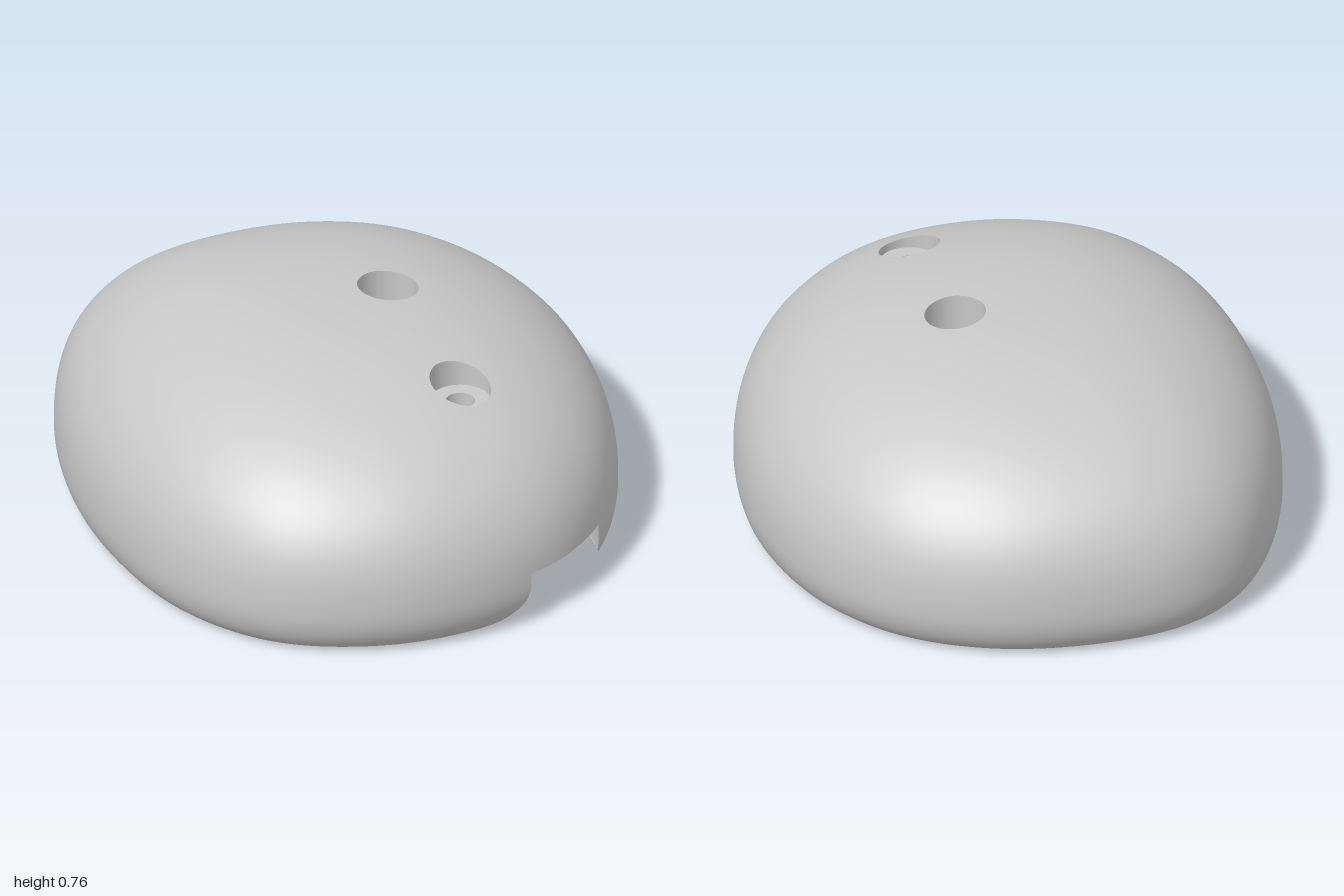
import * as THREE from 'three';

const TAU = Math.PI * 2;
const MOUTH_TOP = 0.195, ROOF = 0.447, LEDGE = 0.61;
const BORE = 0.1, DRILL = 0.048;
const HOLES = [[0.14, -0.15], [0.53, 0.24]];

// Plan outline of the pebble (x, z), turned into a radius for every angle
const OUTLINE = [[-0.11, -1], [0.23, -0.94], [0.56, -0.735], [0.8, -0.44], [0.935, -0.14], [0.982, 0.13],
  [0.94, 0.42], [0.79, 0.67], [0.52, 0.89], [0.155, 0.997], [-0.22, 0.905], [-0.625, 0.575],
  [-0.89, 0.17], [-0.985, -0.19], [-0.935, -0.45], [-0.755, -0.69], [-0.45, -0.91]];
const BINS = 720;
const radii = (() => {
  const curve = new THREE.CatmullRomCurve3(OUTLINE.map(([x, z]) => new THREE.Vector3(x, 0, z)), true);
  const s = curve.getPoints(800).slice(0, 800)
    .map(p => [(Math.atan2(p.z, p.x) + TAU) % TAU, Math.hypot(p.x, p.z)]).sort((a, b) => a[0] - b[0]);
  s.unshift([s[s.length - 1][0] - TAU, s[s.length - 1][1]]);
  s.push([s[1][0] + TAU, s[1][1]]);
  return Array.from({ length: BINS }, (_, k) => {
    const a = k / BINS * TAU, i = s.findIndex(e => e[0] > a), [a0, r0] = s[i - 1], [a1, r1] = s[i];
    return r0 + (r1 - r0) * (a - a0) / (a1 - a0);
  });
})();
function radiusAt(angle) {
  const t = ((angle + TAU) % TAU) / TAU * BINS, k = Math.floor(t);
  return THREE.MathUtils.lerp(radii[k % BINS], radii[(k + 1) % BINS], t - k);
}

// Side profile: rounded foot below, superelliptic dome above
const WAIST = 0.16, RISE = 0.598, POW_R = 2.2, POW_Y = 2.35;
function widthAt(y) {
  if (y < WAIST) return 0.9 + 0.1 * Math.sqrt(Math.max(0, 1 - ((WAIST - y) / WAIST) ** 2));
  return Math.max(0, 1 - ((y - WAIST) / RISE) ** POW_Y) ** (1 / POW_R);
}
const insideBody = (x, y, z) => radiusAt(Math.atan2(z, x)) * widthAt(y) - Math.hypot(x, z);

// Closed path through [x, z, corner radius], as evenly spaced points
function roundedPath(corners) {
  const path = new THREE.Path();
  const v = corners.map(c => new THREE.Vector2(c[0], c[1])), n = v.length;
  corners.forEach(([, , r = 0.07], i) => {
    const p = v[i];
    const [a, b] = [v[(i + n - 1) % n], v[(i + 1) % n]].map(q =>
      p.clone().add(q.clone().sub(p).setLength(Math.min(r, p.distanceTo(q) * 0.45))));
    if (i === 0) path.moveTo(a.x, a.y); else path.lineTo(a.x, a.y);
    path.quadraticCurveTo(p.x, p.y, b.x, b.y);
  });
  path.closePath();
  return path.getSpacedPoints(300);
}
// Signed distance to a closed path, positive outside
function distanceTo(pts, x, z) {
  let best = Infinity, inside = false;
  for (let i = 1; i < pts.length; i++) {
    const a = pts[i - 1], b = pts[i], ex = b.x - a.x, ez = b.y - a.y, wx = x - a.x, wz = z - a.y;
    const t = Math.min(1, Math.max(0, (wx * ex + wz * ez) / (ex * ex + ez * ez || 1)));
    best = Math.min(best, Math.hypot(wx - ex * t, wz - ez * t));
    if ((a.y > z) !== (b.y > z) && x < a.x + ex * (z - a.y) / ez) inside = !inside;
  }
  return inside ? -best : best;
}

// Keep only the part of a geometry where keep(x, y, z, top of triangle) > 0
function clip(geometry, keep) {
  const g = geometry.index ? geometry.toNonIndexed() : geometry;
  const P = g.attributes.position, N = g.attributes.normal, pos = [], nor = [];
  for (let i = 0; i < P.count; i += 3) {
    const top = Math.max(P.getY(i), P.getY(i + 1), P.getY(i + 2));
    const tri = [i, i + 1, i + 2].map(k => {
      const p = [P.getX(k), P.getY(k), P.getZ(k)];
      return [...p, N.getX(k), N.getY(k), N.getZ(k), keep(...p, top)];
    });
    const poly = [];
    tri.forEach((a, k) => {
      const b = tri[(k + 1) % 3];
      if (a[6] > 0) poly.push(a);
      if (a[6] > 0 !== b[6] > 0) {
        const t = a[6] / (a[6] - b[6]);
        poly.push(a.map((c, m) => c + (b[m] - c) * t));
      }
    });
    for (let k = 2; k < poly.length; k++)
      for (const v of [poly[0], poly[k - 1], poly[k]]) {
        pos.push(v[0], v[1], v[2]);
        nor.push(v[3], v[4], v[5]);
      }
  }
  const out = new THREE.BufferGeometry();
  out.setAttribute('position', new THREE.Float32BufferAttribute(pos, 3));
  out.setAttribute('normal', new THREE.Float32BufferAttribute(nor, 3));
  return out;
}

// Whole pebble surface, from the middle of the base to the crown
function pebble() {
  const SEG = 256, rows = [], ys = [MOUTH_TOP];
  for (let i = 0; i < 24; i++) rows.push([0.9 * i / 24, 0]);
  for (let i = 0; i < 12; i++) ys.push(WAIST * (1 - Math.cos(i / 12 * Math.PI / 2)));
  for (let i = 0; i <= 64; i++) ys.push(WAIST + RISE * Math.sin(i / 64 * Math.PI / 2) ** (2 / POW_Y));
  ys.sort((a, b) => a - b).forEach(y => rows.push([widthAt(y), y]));
  const pos = [], idx = [];
  rows.forEach(([w, y], i) => {
    for (let j = 0; j < SEG; j++) {
      const a = j / SEG * TAU, r = Math.max(w, 1e-4) * radiusAt(a);
      pos.push(r * Math.cos(a), y, r * Math.sin(a));
      if (i === rows.length - 1) continue;
      const p = i * SEG + j, q = i * SEG + (j + 1) % SEG;
      idx.push(p, p + SEG, q, q, p + SEG, q + SEG);
    }
  });
  const g = new THREE.BufferGeometry();
  g.setAttribute('position', new THREE.Float32BufferAttribute(pos, 3));
  g.setIndex(idx);
  g.computeVertexNormals();
  return g;
}

// Upright wall following a path
function wall(pts, y0, y1) {
  const g = new THREE.PlaneGeometry(1, 1, pts.length - 1, 12), P = g.attributes.position;
  for (let i = 0; i < P.count; i++) {
    const p = pts[i % pts.length];
    P.setXYZ(i, p.x, y0 + (y1 - y0) * (P.getY(i) + 0.5), p.y);
  }
  g.computeVertexNormals();
  return g;
}

const ceiling = y => new THREE.PlaneGeometry(2.2, 2.2, 110, 110).rotateX(Math.PI / 2).translate(0, y, 0);
const holeGap = (x, z, r) => Math.min(...HOLES.map(([hx, hz]) => Math.hypot(x - hx, z - hz) - r));
// Corner given along and across the pocket, which lies at 45 degrees
const diagonal = (s, n, r) => [(s - n) * Math.SQRT1_2, (s + n) * Math.SQRT1_2, r];

export function createModel() {
  const group = new THREE.Group();
  const stone = new THREE.MeshStandardMaterial({ color: 0xc8c8c8, side: THREE.DoubleSide });
  stone.name = 'stone grey';
  const add = (name, geometry) => {
    const mesh = new THREE.Mesh(geometry, stone);
    mesh.name = name;
    group.add(mesh);
  };

  // Deep pocket, and the wider low cavity that narrows to the side mouth
  const backEnd = [diagonal(-0.605, -0.574, 0.22), diagonal(-0.605, 0.472, 0.03), diagonal(0.84, 0.472, 0.12)];
  const pocket = roundedPath([...backEnd, diagonal(0.84, 0, 0.12), diagonal(0.7, -0.45), diagonal(0.5, -0.574)]);
  const cavity = roundedPath([...backEnd, [0.63, 0.69], [0.75, 0.625], [0.84, 0.57], [0.885, 0.535, 0.02],
    [1.2, 0.53], [1.2, 0.18], [0.98, 0.18, 0.02], [0.955, 0.1], [0.91, 0], [0.84, -0.1],
    [0.77, -0.2, 0.1], [0.55, -0.265, 0.1]]);

  // Outer shell, opened for the cavity below and the holes on top
  add('shell', clip(pebble(), (x, y, z, top) =>
    top <= MOUTH_TOP + 1e-5 ? distanceTo(cavity, x, z) : y > 0.4 ? holeGap(x, z, BORE) : 1));

  // Inside of the base
  add('cavityWall', clip(wall(cavity, 0, MOUTH_TOP), insideBody));
  add('mouthCeiling', clip(clip(clip(ceiling(MOUTH_TOP), (x, y, z) => -distanceTo(cavity, x, z)),
    (x, y, z) => distanceTo(pocket, x, z)), insideBody));
  add('pocketWall', clip(wall(pocket, MOUTH_TOP, ROOF), insideBody));
  add('pocketRoof', clip(clip(clip(ceiling(ROOF), (x, y, z) => -distanceTo(pocket, x, z)),
    (x, y, z) => holeGap(x, z, DRILL)), insideBody));

  // Counterbored screw holes
  for (const [x, z] of HOLES) {
    const tube = (r, y0, y1) => new THREE.CylinderGeometry(r, r, y1 - y0, 64, 16, true)
      .scale(-1, 1, 1).translate(x, (y0 + y1) / 2, z);
    add('counterbore', clip(tube(BORE, LEDGE, 0.78), insideBody));
    add('screwSeat', new THREE.RingGeometry(DRILL, BORE, 64).rotateX(-Math.PI / 2).translate(x, LEDGE, z));
    add('screwHole', tube(DRILL, ROOF, LEDGE));
  }
  return group;
}
